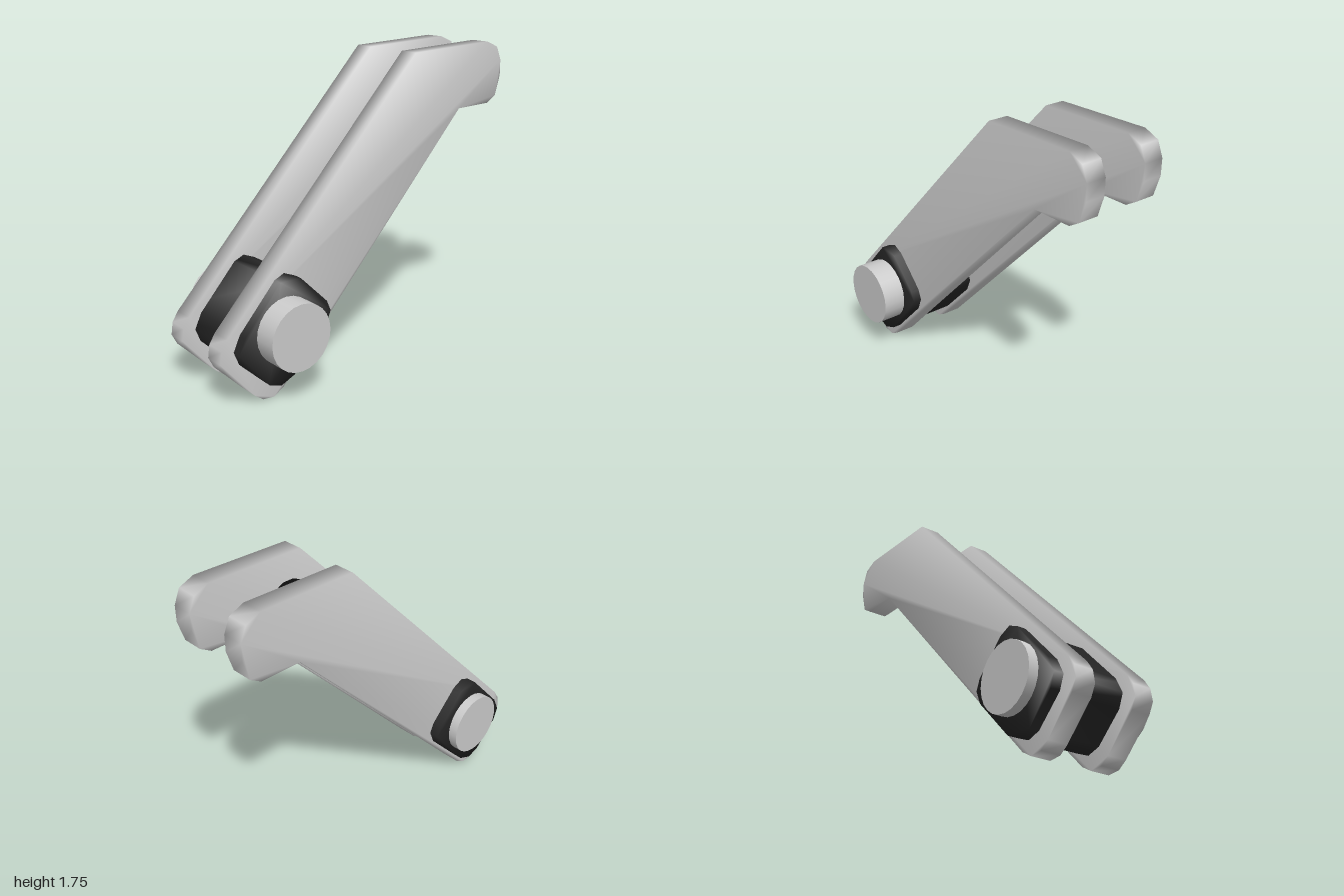
import * as THREE from 'three';
import { mergeVertices } from 'three/addons/utils/BufferGeometryUtils.js';

const grey = new THREE.MeshStandardMaterial({ color: 0xcccccc });
const dark = new THREE.MeshStandardMaterial({ color: 0x262626 });
const black = new THREE.MeshStandardMaterial({ color: 0x0a0a0a });

// Share corner vertices so the shading rolls softly over the edges
function soften(geometry) {
  geometry.deleteAttribute('uv');
  geometry.deleteAttribute('normal');
  const merged = mergeVertices(geometry, 1e-4);
  merged.computeVertexNormals();
  return merged;
}

// Extrude an outline in the xy plane from z0 to z1
function slab(name, outline, z0, z1, material) {
  const shape = new THREE.Shape(outline.map(([x, y]) => new THREE.Vector2(x, y)));
  const geometry = new THREE.ExtrudeGeometry(shape, { depth: z1 - z0, bevelEnabled: false });
  geometry.translate(0, 0, z0);
  const mesh = new THREE.Mesh(soften(geometry), material);
  mesh.name = name;
  return mesh;
}

// Capped cylinder between two points
function rod(name, a, b, radius, sides, material) {
  const dir = b.clone().sub(a);
  const geometry = new THREE.CylinderGeometry(radius, radius, dir.length(), sides);
  const mesh = new THREE.Mesh(geometry, material);
  mesh.quaternion.setFromUnitVectors(new THREE.Vector3(0, 1, 0), dir.normalize());
  mesh.position.copy(a).add(b).multiplyScalar(0.5);
  mesh.name = name;
  return mesh;
}

export function createModel() {
  const model = new THREE.Group();
  model.name = 'leverAssembly';

  // Two bent side plates
  const plate = [
    [-1, 0.28], [-0.97, 0.22], [-0.8, 0.045], [-0.75, 0.008], [-0.68, 0], [-0.62, 0.035],
    [0.66, 1.38], [0.9, 1.385], [0.965, 1.425], [1, 1.54], [1, 1.63], [0.965, 1.71],
    [0.88, 1.745], [0.31, 1.725], [-0.955, 0.405], [-0.99, 0.35],
  ];
  model.add(slab('frontPlate', plate, 0.09, 0.205, grey));
  model.add(slab('backPlate', plate, -0.28, -0.165, grey));

  // Rounded pivot block passing through both plates
  const block = [
    [-0.92, 0.325], [-0.89, 0.25], [-0.74, 0.105], [-0.665, 0.08], [-0.58, 0.115],
    [-0.365, 0.34], [-0.335, 0.415], [-0.36, 0.475], [-0.53, 0.645], [-0.6, 0.675],
    [-0.66, 0.65], [-0.88, 0.41],
  ];
  model.add(slab('pivotBlock', block, -0.335, 0.255, dark));

  // Pivot pin standing out on both sides
  model.add(rod('pivotPin', new THREE.Vector3(-0.627, 0.383, -0.39),
    new THREE.Vector3(-0.627, 0.383, 0.388), 0.184, 24, grey));

  // Inner strut and its grip, lying along the plates
  const centre = new THREE.Vector3(0.362, 1.41, -0.042);
  const along = new THREE.Vector3(0.685, 0.728, 0).normalize();
  const at = (t) => centre.clone().addScaledVector(along, t);
  model.add(rod('strut', at(-1.165), at(0), 0.078, 12, grey));
  model.add(rod('strutGrip', at(-0.205), at(0.205), 0.116, 12, black));

  return model;
}
